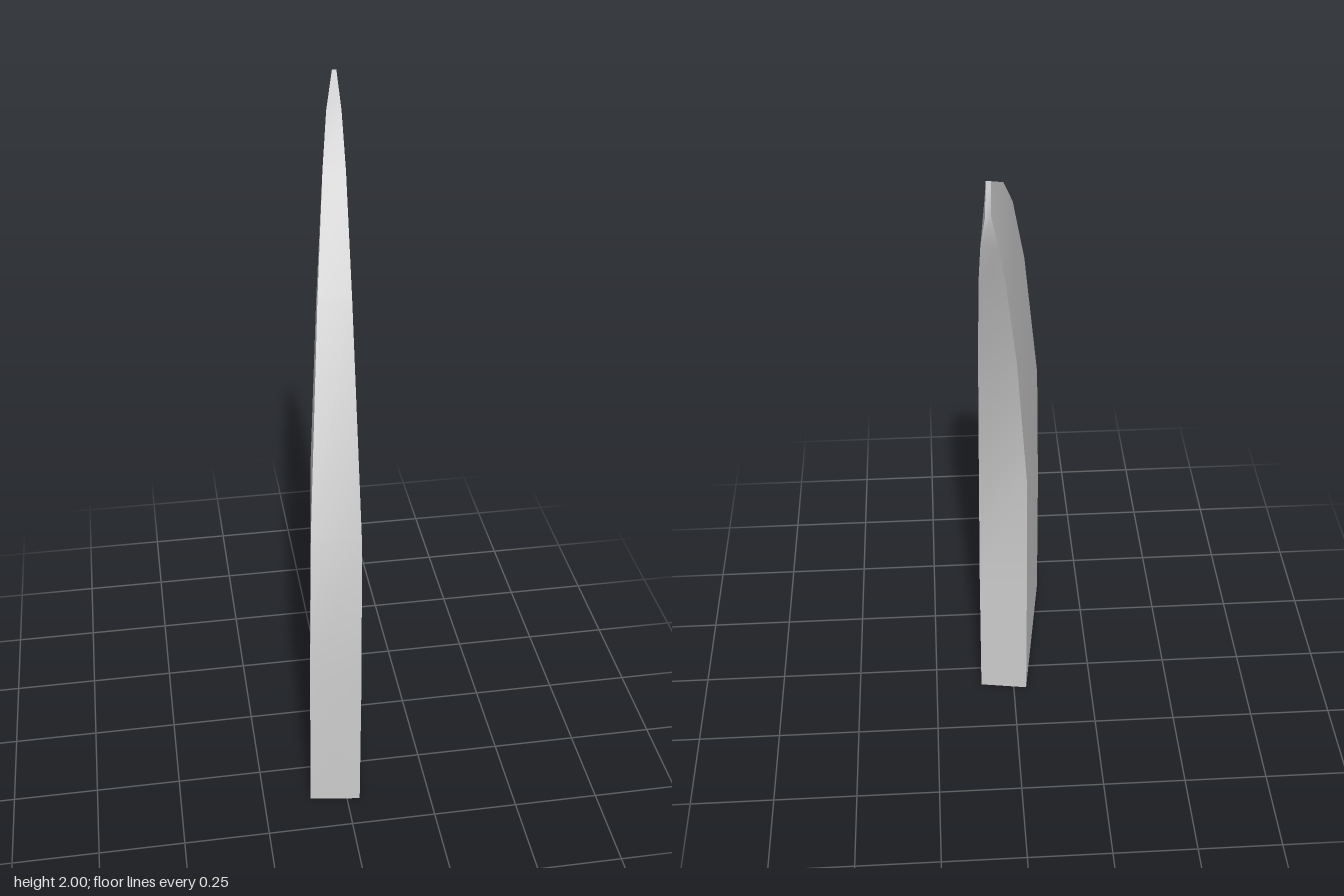
import * as THREE from 'three';
import { toCreasedNormals } from 'three/addons/utils/BufferGeometryUtils.js';

// Four-cornered cross-sections from base to tip. Corner order:
// front right, front left, back left, back right, each [x, y, z].
const sections = [
  [[-0.11, 0, 0.382], [0.038, 0, 0.403], [0.105, 0, -0.073], [-0.04, 0, -0.094]],
  [[-0.108, 0.49, 0.38], [0.038, 0.49, 0.4], [0.104, 0.47, -0.073], [-0.04, 0.47, -0.094]],
  [[-0.098, 0.95, 0.343], [0.039, 0.95, 0.363], [0.101, 0.88, -0.078], [-0.037, 0.88, -0.097]],
  [[-0.037, 1.53, 0.065], [0.054, 1.53, 0.08], [0.101, 1.38, -0.203], [0.0, 1.38, -0.217]],
  [[0.006, 1.81, -0.13], [0.068, 1.81, -0.12], [0.1, 1.69, -0.313], [0.034, 1.69, -0.322]],
  [[0.035, 1.93, -0.255], [0.076, 1.93, -0.248], [0.096, 1.82, -0.366], [0.054, 1.82, -0.373]],
  [[0.07, 2, -0.38], [0.082, 2, -0.377], [0.085, 1.92, -0.4], [0.071, 1.92, -0.403]],
];

// Joins the sections into a closed solid
function loft(rings) {
  const n = rings[0].length;
  const index = [];
  const quad = (a, b, c, d) => index.push(a, b, c, a, c, d);
  for (let i = 0; i < rings.length - 1; i++) {
    for (let j = 0; j < n; j++) {
      const k = (j + 1) % n;
      quad(i * n + j, i * n + k, (i + 1) * n + k, (i + 1) * n + j);
    }
  }
  const t = (rings.length - 1) * n;
  quad(3, 2, 1, 0); // underside
  quad(t, t + 1, t + 2, t + 3); // blunt tip
  const geometry = new THREE.BufferGeometry();
  geometry.setAttribute('position', new THREE.Float32BufferAttribute(rings.flat(2), 3));
  geometry.setIndex(index);
  return toCreasedNormals(geometry, 0.6);
}

export function createModel() {
  const group = new THREE.Group();
  group.name = 'curvedSpike';
  // Tapered slab leaning back toward its tip
  const spike = new THREE.Mesh(loft(sections), new THREE.MeshStandardMaterial({ color: 0xcccccc }));
  spike.name = 'spike';
  group.add(spike);
  return group;
}
